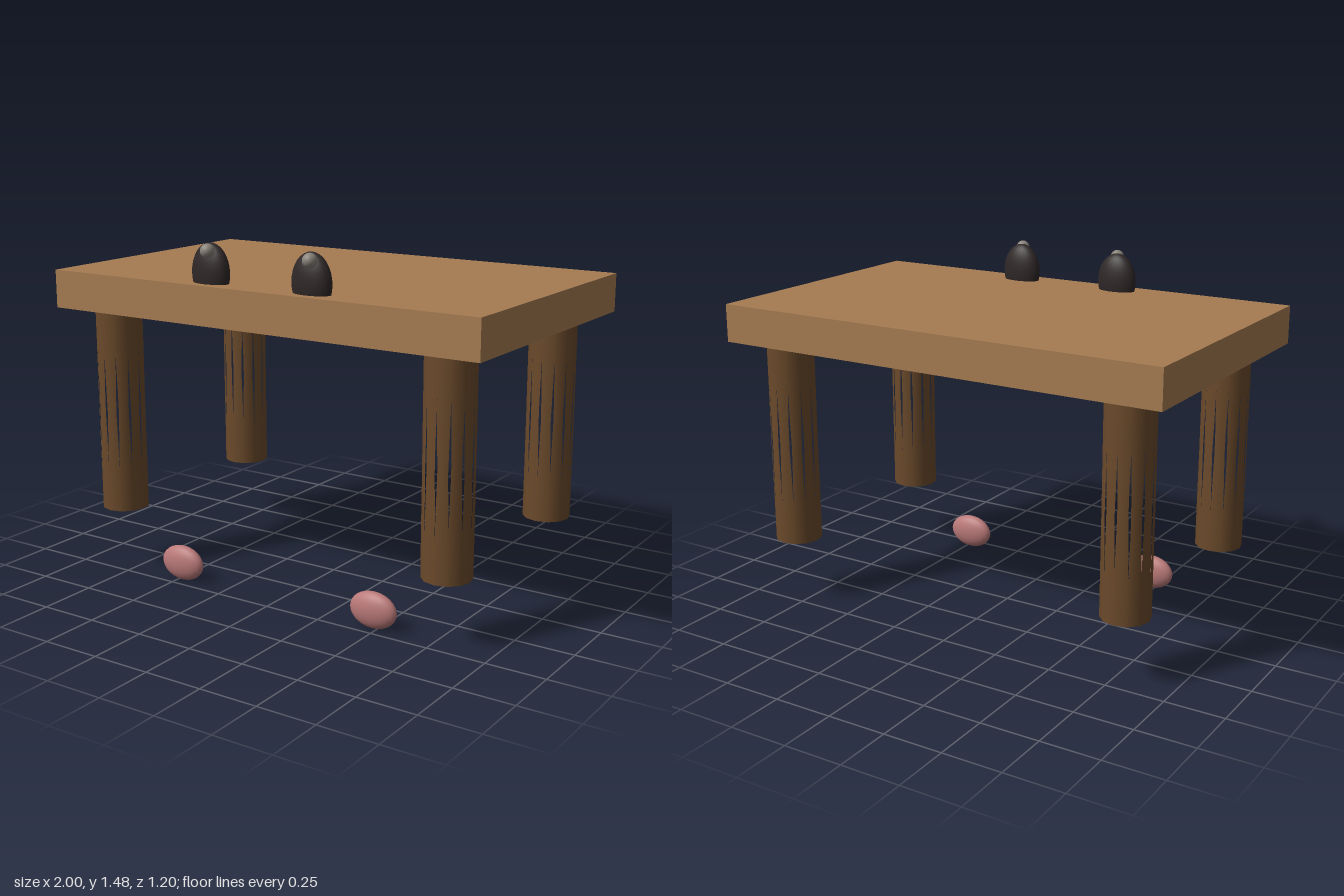
import * as THREE from 'three';
import { mergeGeometries } from 'three/addons/utils/BufferGeometryUtils.js';

const material = (color) => new THREE.MeshStandardMaterial({ color });

const LEG_R = 0.1, LEG_H = 0.88, STAVES = 12;

// Log leg: twelve vertical staves whose edges pinch into narrow cracks near mid-height
function legGeometry() {
  const parts = [];
  const step = (Math.PI * 2) / STAVES;
  for (let i = 0; i < STAVES; i++) {
    const stave = new THREE.CylinderGeometry(LEG_R, LEG_R, LEG_H, 1, 10, true, i * step, step);
    const pos = stave.attributes.position;
    const middle = (i + 0.5) * step;
    for (let v = 0; v < pos.count; v++) {
      const y = pos.getY(v);
      const wobble = 0.03 * Math.sin(i * 2.4);
      const pinch = 0.11 * Math.max(0, 1 - Math.abs(y - wobble) / 0.24);
      const side = stave.attributes.uv.getX(v) - 0.5;
      const angle = middle + side * step * (1 - pinch * 2);
      pos.setXYZ(v, LEG_R * Math.sin(angle), y, LEG_R * Math.cos(angle));
    }
    parts.push(stave);
  }
  // End caps
  for (const s of [1, -1]) {
    const cap = new THREE.CircleGeometry(LEG_R, STAVES, Math.PI / 2);
    cap.rotateX((-s * Math.PI) / 2).translate(0, (s * LEG_H) / 2, 0);
    parts.push(cap);
  }
  return mergeGeometries(parts);
}

export function createModel() {
  const model = new THREE.Group();
  model.name = 'tableCreature';

  const add = (name, geometry, mat, x, y, z, scale = [1, 1, 1]) => {
    const mesh = new THREE.Mesh(geometry, mat);
    mesh.name = name;
    mesh.position.set(x, y, z);
    mesh.scale.set(...scale);
    model.add(mesh);
  };

  // Table top
  add('tableTop', new THREE.BoxGeometry(2, 0.16, 1.2), material(0xa67c52), 0, 1.24, 0);

  // Four legs
  const leg = legGeometry();
  const legMat = material(0x6b4a2b);
  for (const [sx, side] of [[1, 'Left'], [-1, 'Right']]) {
    for (const [sz, end] of [[1, 'front'], [-1, 'back']]) {
      add(`${end}${side}Leg`, leg, legMat, sx * 0.8, 0.28 + LEG_H / 2, sz * 0.44);
    }
  }

  // Flattened eyes with glints, and feet resting below
  const ball = new THREE.SphereGeometry(1, 24, 16);
  const eyeMat = material(0x2f2727), glintMat = material(0x88837a), footMat = material(0xb97878);
  for (const [s, side] of [[1, 'left'], [-1, 'right']]) {
    add(`${side}Eye`, ball, eyeMat, s * 0.24, 1.36, 0.515, [0.088, 0.12, 0.048]);
    add(`${side}EyeGlint`, ball, glintMat, s * 0.24 + 0.03, 1.455, 0.573, [0.029, 0.029, 0.029]);
    add(`${side}Foot`, ball, footMat, s * 0.48, 0.078, 0.447, [0.105, 0.076, 0.042]);
  }

  return model;
}
